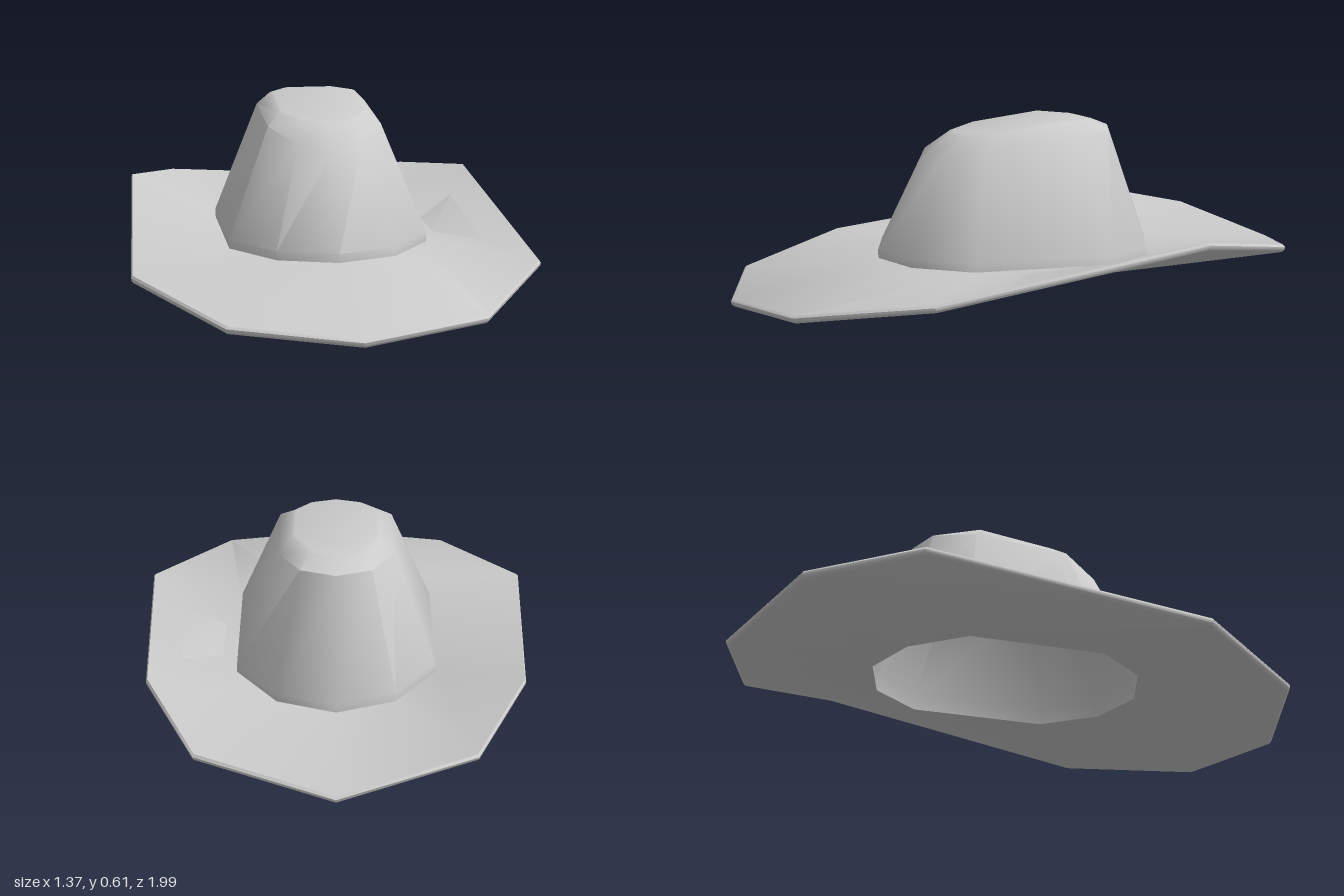
import * as THREE from 'three';
import { toCreasedNormals } from 'three/addons/utils/BufferGeometryUtils.js';

// Half outlines run from the front centre round the left side to the back centre
const BRIM = [[0, 0.03, 0.99], [0.415, 0.055, 0.865], [0.685, 0.12, 0.465], [0.63, 0.25, -0.495], [0.455, 0.19, -0.85], [0, 0.13, -1]];
const BASE = [[0, 0.14, 0.475], [0.2, 0.14, 0.41], [0.34, 0.14, 0.23], [0.34, 0.135, -0.26], [0.2, 0.13, -0.44], [0, 0.13, -0.51]];
const SHOULDER = [[0, 0.48, 0.315], [0.11, 0.5, 0.275], [0.195, 0.54, 0.14], [0.195, 0.56, -0.19], [0.12, 0.57, -0.325], [0, 0.57, -0.365]];
const TOP = [[0, 0.565, 0.2], [0.08, 0.567, 0.175], [0.14, 0.58, 0.09], [0.14, 0.61, -0.15], [0.08, 0.605, -0.25], [0, 0.6, -0.28]];

// Mirrors a half outline into a full ring, scaled in plan and shifted in height
function ring(half, scale = 1, dy = 0) {
  const left = half.map(([x, y, z]) => [x * scale, y + dy, z * scale]);
  const right = left.slice(1, -1).reverse().map(([x, y, z]) => [-x, y, z]);
  return [...left, ...right];
}

// Skins successive rings with quads, optionally capping the first and last
function loft(rings, capStart, capEnd) {
  const n = rings[0].length;
  const index = [];
  const quad = (a, b, c, d) => index.push(a, b, c, a, c, d);
  for (let k = 0; k < rings.length - 1; k++) {
    for (let j = 0; j < n; j++) {
      const j2 = (j + 1) % n;
      quad(k * n + j, k * n + j2, (k + 1) * n + j2, (k + 1) * n + j);
    }
  }
  const cap = (start, flip) => {
    for (let i = 0; i < n / 2; i++) {
      const a = start + i, b = start + i + 1;
      const c = start + n - i - 1, d = start + (n - i) % n;
      if (flip) quad(d, c, b, a);
      else quad(a, b, c, d);
    }
  };
  if (capStart) cap(0, true);
  if (capEnd) cap((rings.length - 1) * n, false);
  const geometry = new THREE.BufferGeometry();
  geometry.setAttribute('position', new THREE.Float32BufferAttribute(rings.flat(2), 3));
  geometry.setIndex(index);
  return toCreasedNormals(geometry, 0.75);
}

export function createModel() {
  const group = new THREE.Group();
  group.name = 'hat';
  const material = new THREE.MeshStandardMaterial({ color: 0xcccccc, side: THREE.DoubleSide });
  const add = (name, geometry) => {
    const mesh = new THREE.Mesh(geometry, material);
    mesh.name = name;
    group.add(mesh);
  };

  // Brim: underside, rounded rim and upper side
  add('brim', loft([
    ring(BASE, 0.97, -0.03),
    ring(BRIM, 0.988, -0.026),
    ring(BRIM, 0.998, -0.018),
    ring(BRIM, 1, -0.008),
    ring(BRIM, 0.993, 0),
    ring(BASE),
  ]));

  // Outer crown with its sloping, slightly sunken top
  add('crown', loft([
    ring(BASE),
    ring(BASE, 1, 0.03),
    ring(SHOULDER),
    ring(TOP, 1.08, -0.005),
    ring(TOP),
  ], false, true));

  // Hollow inside of the crown
  add('lining', loft([
    ring(TOP, 0.95, -0.025),
    ring(SHOULDER, 0.91, -0.02),
    ring(BASE, 0.95, 0.02),
    ring(BASE, 0.97, -0.03),
  ], true, false));

  return group;
}
